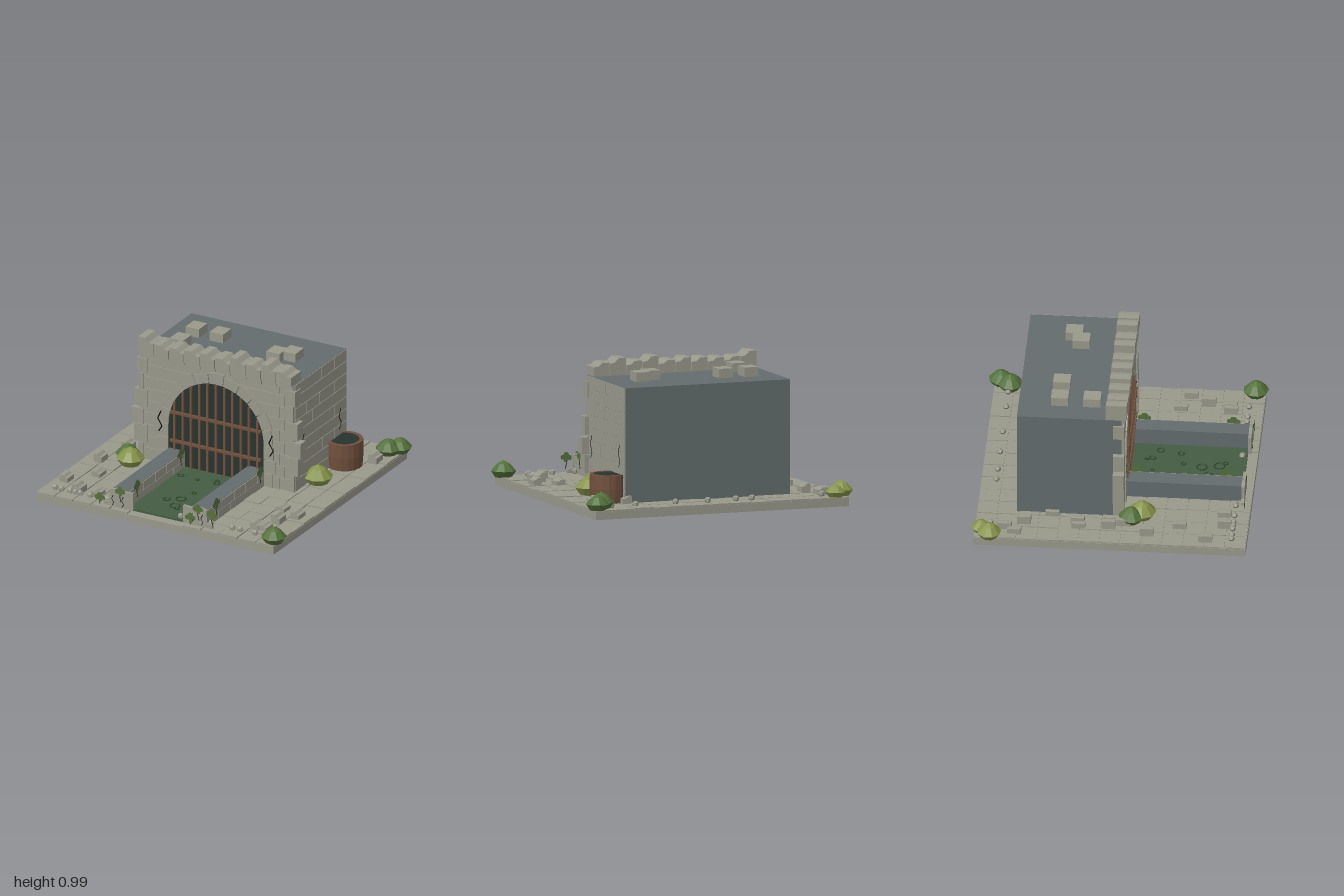
import * as THREE from 'three';

const mat = (name, color) => Object.assign(new THREE.MeshStandardMaterial({ color }), { name });

export function createModel() {
  const M = {
    stone: mat('stone', 0x98988b), slate: mat('slate', 0x636c6d), moss: mat('mossy floor', 0x445c43),
    dark: mat('dark teal', 0x27322f), wood: mat('brown wood', 0x70503d), olive: mat('olive leaf', 0x86934a),
    leaf: mat('green leaf', 0x53703a), ring: mat('dark green', 0x30482a), crack: mat('black', 0x0d0f0e),
  };
  M.flat = M.leaf.clone();
  M.flat.name = 'flat leaf';
  M.flat.side = THREE.DoubleSide;
  M.crack.side = THREE.DoubleSide;
  const root = new THREE.Group();
  let seed = 7;
  const rnd = () => ((seed = (seed * 16807) % 2147483647) / 2147483647);

  const add = (name, geo, m, x = 0, y = 0, z = 0, parent = root) => {
    const mesh = new THREE.Mesh(geo, m);
    mesh.name = name;
    mesh.position.set(x, y, z);
    parent.add(mesh);
    return mesh;
  };
  // Box given by its limits
  const box = (name, m, x0, x1, y0, y1, z0, z1) =>
    add(name, new THREE.BoxGeometry(x1 - x0, y1 - y0, z1 - z0), m, (x0 + x1) / 2, (y0 + y1) / 2, (z0 + z1) / 2);
  const facet = (g) => {
    const f = g.index ? g.toNonIndexed() : g;
    f.computeVertexNormals();
    return f;
  };
  const shapeOf = (pts) => new THREE.Shape(pts.map(([x, y]) => new THREE.Vector2(x, y)));
  const slab = (pts, depth) => new THREE.ExtrudeGeometry(shapeOf(pts), { depth, bevelEnabled: false });

  // Ground plinth and paving
  box('plinth', M.stone, -0.945, 0.945, 0.01, 0.066, -0.945, 0.945);
  const n = 13, pitch = 1.89 / n;
  for (let i = 0; i < n; i++) {
    for (let j = 0; j < n; j++) {
      const x = -0.945 + i * pitch, z = -0.945 + j * pitch, cx = x + pitch / 2, cz = z + pitch / 2;
      if (Math.abs(cx) < 0.5 && cz > -0.55 && cz < 0) continue;
      if (Math.abs(cx) < 0.2 && cz > 0) continue;
      const gap = 0.003, top = 0.073 + rnd() * 0.006;
      box('pavingSlab', M.stone, x + gap, x + pitch - gap, 0.064, top, z + gap, z + pitch - gap);
    }
  }

  // Main block
  box('building', M.slate, -0.615, 0.615, 0.06, 0.88, -0.67, 0.058);

  // Stone courses on the left wall
  const rows = 9, rowH = 0.81 / rows;
  for (let r = 0; r < rows; r++) {
    const y = 0.07 + r * rowH;
    let z = -0.67;
    let w = r % 2 ? 0.09 : 0.18;
    while (z < 0.059) {
      const end = Math.min(z + w, 0.06);
      box('wallStone', M.stone, 0.6, 0.621, y + 0.002, y + rowH - 0.002, z + 0.002, end - 0.002);
      z = end;
      w = 0.16 + rnd() * 0.05;
    }
  }

  // Stone courses on the front, cut round the arch
  const cy = 0.38, rIn = 0.38, rOut = 0.46;
  const edge = (y) => (y < cy ? 0.43 : Math.sqrt(Math.max(0, 0.43 ** 2 - (y - cy) ** 2)));
  for (const s of [-1, 1]) {
    for (let r = 0; r < rows; r++) {
      const y0 = 0.07 + r * rowH + 0.002, y1 = y0 + rowH - 0.004;
      const inner = [];
      for (let k = 0; k <= 6; k++) {
        const y = y0 + ((y1 - y0) * k) / 6;
        inner.push([s * Math.max(0.001, edge(y)), y]);
      }
      const split = r % 2 ? 0.54 : 0.5;
      add('frontStone', slab([...inner, [s * (split - 0.002), y1], [s * (split - 0.002), y0]], 0.02), M.stone, 0, 0, 0.048);
      box('frontStone', M.stone, Math.min(s * split, s * 0.612), Math.max(s * split, s * 0.612), y0, y1, 0.048, 0.068);
    }
    // Corner quoins
    [[0.07, 0.2, 0.62], [0.2, 0.335, 0.652], [0.335, 0.455, 0.672], [0.47, 0.6, 0.65], [0.6, 0.725, 0.615], [0.73, 0.84, 0.63]]
      .forEach(([y0, y1, x], i) => {
        const xi = i % 2 ? 0.55 : 0.58;
        box('quoin', M.stone, Math.min(s * xi, s * x), Math.max(s * xi, s * x), y0, y1 - 0.004, 0.0, 0.078);
      });
    // Door jambs
    [[0.07, 0.175, 0.45], [0.18, 0.275, 0.47], [0.28, 0.378, 0.455]].forEach(([y0, y1, x]) =>
      box('jambStone', M.stone, Math.min(s * rIn, s * x), Math.max(s * rIn, s * x), y0, y1, 0.05, 0.078));
  }

  // Arch stones
  for (let i = 0; i < 11; i++) {
    const a0 = (Math.PI * i) / 11 + 0.007, a1 = (Math.PI * (i + 1)) / 11 - 0.007, ro = i % 2 ? rOut + 0.005 : rOut - 0.01;
    const p = (r, a) => [r * Math.cos(a), cy + r * Math.sin(a)];
    const am = (a0 + a1) / 2;
    add('archStone', slab([p(rIn, a0), p(ro, a0), p(ro, am), p(ro, a1), p(rIn, a1), p(rIn, am)], 0.028), M.stone, 0, 0, 0.05);
  }

  // Door panel and grille
  const door = [[-0.39, 0.07], [0.39, 0.07]];
  for (let i = 0; i <= 16; i++) door.push([0.39 * Math.cos((Math.PI * i) / 16), cy + 0.385 * Math.sin((Math.PI * i) / 16)]);
  add('doorPanel', slab(door, 0.012), M.dark, 0, 0, 0.058);
  for (let i = -5; i <= 5; i++) {
    const x = i * 0.066, top = cy + Math.sqrt(rIn ** 2 - x * x) - 0.008;
    box('doorBar', M.wood, x - 0.008, x + 0.008, 0.075, top, 0.07, 0.084);
  }
  for (const y of [0.265, 0.48]) box('doorCrossbar', M.wood, -0.36, 0.36, y - 0.009, y + 0.009, 0.07, 0.092);

  // Worn stone profile, shared by battlements and fallen rubble
  const worn = (w, h, d) => slab([[0, 0], [w, 0], [w, h * 0.7], [w * 0.7, h * 0.75], [w * 0.45, h], [0, h]], d);
  for (let i = 0; i < 10; i++) {
    const low = 0.835 + rnd() * 0.03;
    const top = i === 0 || i === 6 || i === 8 ? 1.0 : 0.965 + rnd() * 0.015;
    add('merlon', worn(0.117, top - 0.88, 0.145), M.stone, -0.61 + i * 0.122, 0.88, -0.052);
    box('copingStone', M.stone, -0.61 + i * 0.122, -0.493 + i * 0.122, low, 0.882, 0.04, 0.08);
  }

  // Loose blocks on the roof
  for (const [x, z] of [[-0.415, -0.385], [-0.225, -0.385], [-0.415, -0.16], [0.28, -0.29], [0.375, -0.345]])
    box('roofBlock', M.stone, x - 0.053, x + 0.053, 0.875, 0.945, z - 0.06, z + 0.06);

  // Rubble
  const rubble = [[-0.86, -0.67], [-0.81, -0.74], [-0.74, -0.61], [-0.76, -0.23], [-0.71, -0.24], [-0.75, -0.02],
    [-0.63, -0.42], [-0.71, 0.08], [-0.82, 0.25], [-0.71, 0.47], [-0.86, 0.66], [-0.69, 0.78], [-0.55, 0.77], [0.61, -0.65],
    [0.85, -0.67], [0.7, 0.37], [0.85, 0.43], [0.77, 0.56], [0.75, 0.71], [0.69, 0.72]];
  rubble.forEach(([x, z], i) => add('rubble', worn(0.065, 0.045 + (i % 3) * 0.012, 0.095), M.stone, x - 0.032, 0.07, z - 0.047));
  const pebble = facet(new THREE.DodecahedronGeometry(0.023));
  for (const x of [-0.85, -0.8, -0.73, -0.69, -0.65, -0.57, -0.45, -0.43, 0.15, 0.39, 0.56, 0.62, 0.74, 0.9])
    add('pebble', pebble, M.stone, x, 0.092, 0.84);
  for (const x of [-0.78, -0.26, -0.14, 0.07, 0.31, 0.61, 0.79]) add('pebble', pebble, M.stone, x, 0.092, -0.84);

  // Sunken path with side walls and end piers
  box('mossFloor', M.moss, -0.255, 0.255, 0.06, 0.082, 0.07, 0.875);
  for (const x of [-0.375, 0.255]) {
    box('pathWall', M.slate, x, x + 0.12, 0.06, 0.2, 0.06, 0.88);
    for (let r = 0; r < 2; r++) {
      for (let k = 0; k < 5; k++) {
        const z0 = 0.07 + k * 0.162 + (r && k ? -0.06 : 0), z1 = k === 4 ? 0.88 : 0.07 + (k + 1) * 0.162 - (r ? 0.06 : 0);
        box('pathWallStone', M.stone, x + 0.115, x + 0.127, 0.07 + r * 0.065, 0.133 + r * 0.064, z0 + 0.002, z1 - 0.002);
      }
    }
  }
  for (const s of [-1, 1]) {
    const pier = [[0.2, 0.07], [0.43, 0.07], [0.43, 0.1], [0.39, 0.11], [0.385, 0.2], [0.33, 0.215], [0.27, 0.2], [0.2, 0.205]];
    add('endPier', slab(pier.map(([x, y]) => [s * x, y]), 0.022), M.stone, 0, 0, 0.874);
  }

  // Moss rings on the floor
  for (const [x, z, r] of [[-0.2, 0.22, 0.022], [-0.06, 0.23, 0.011], [0.07, 0.18, 0.012], [0.085, 0.22, 0.022],
    [0.18, 0.27, 0.024], [0.15, 0.415, 0.02], [0.03, 0.44, 0.016], [0, 0.57, 0.036], [-0.085, 0.62, 0.025],
    [0.02, 0.69, 0.036], [0.055, 0.73, 0.016]])
    add('mossRing', new THREE.TorusGeometry(r, 0.005, 5, 12), M.ring, x, 0.084, z).rotation.x = Math.PI / 2;

  // Cracks: thin zigzag plates
  const crack = (x, y, z, k, turn) => {
    const line = [[0.01, 0.08], [-0.016, 0.02], [0.017, -0.035], [-0.01, -0.08]];
    const pts = [...line.map(([a, b]) => [a - 0.005, b]), ...line.reverse().map(([a, b]) => [a + 0.005, b])];
    const c = add('crack', new THREE.ShapeGeometry(shapeOf(pts)), M.crack, x, y, z);
    c.scale.setScalar(k);
    c.rotation.y = turn;
  };
  for (const x of [-0.445, 0.44]) crack(x, 0.39, 0.081, 1, 0);
  for (const z of [-0.05, -0.57]) crack(0.624, 0.39, z, 1, Math.PI / 2);
  for (const x of [-0.36, -0.28, 0.27, 0.35]) crack(x, 0.125, 0.899, 0.5, 0);

  // Leafy sprigs on the piers and wall ends
  const sprig = (x, y, z, k, turn) => {
    const g = new THREE.Group();
    g.name = 'sprig';
    [[0, 0.02, 0.03], [-0.03, 0, 0.024], [0.032, 0.004, 0.022], [0.004, -0.022, 0.02]].forEach(([a, b, r], i) =>
      add('sprigLeaf', new THREE.CircleGeometry(r, 7), M.flat, a, b, 0.001 * i, g));
    add('sprigStem', new THREE.BoxGeometry(0.007, 0.08, 0.004), M.ring, 0, -0.06, 0, g).rotation.z = 0.25;
    g.position.set(x, y, z);
    g.rotation.y = turn;
    g.scale.setScalar(k);
    root.add(g);
  };
  for (const [x, y] of [[-0.3, 0.2], [-0.46, 0.125], [0.26, 0.125], [0.32, 0.2], [0.43, 0.18]]) sprig(x, y, 0.901, 0.8, 0);
  for (const x of [-0.244, 0.387]) for (const z of [0.14, 0.76]) sprig(x, 0.205, z, 0.9, Math.PI / 2);

  // Faceted bushes
  for (const [x, z, r, m] of [[-0.925, -0.84, 0.085, M.olive], [-0.86, -0.9, 0.07, M.olive], [0.915, -0.9, 0.085, M.leaf],
    [0.86, -0.83, 0.09, M.leaf], [0.68, -0.16, 0.105, M.olive], [-0.67, 0.13, 0.09, M.leaf],
    [-0.61, 0.2, 0.1, M.olive], [0.91, 0.875, 0.09, M.leaf]]) {
    const pts = [[0, 0], [0.65, 0], [1, 0.5], [0.5, 1.05], [0, 1.32]].map(([a, b]) => new THREE.Vector2(a * r, b * r));
    add('bush', facet(new THREE.LatheGeometry(pts, 9)), m, x, 0.073, z).rotation.y = rnd() * 3;
  }

  // Barrel with dark water
  const barrel = [[0, 0], [0.125, 0], [0.132, 0.1], [0.13, 0.2], [0.104, 0.2], [0.104, 0.18]].map(([a, b]) => new THREE.Vector2(a, b));
  add('barrel', facet(new THREE.LatheGeometry(barrel, 18)), M.wood, 0.685, 0.07, -0.524);
  add('barrelWater', new THREE.CylinderGeometry(0.106, 0.106, 0.01, 18), M.dark, 0.685, 0.262, -0.524);
  return root;
}
